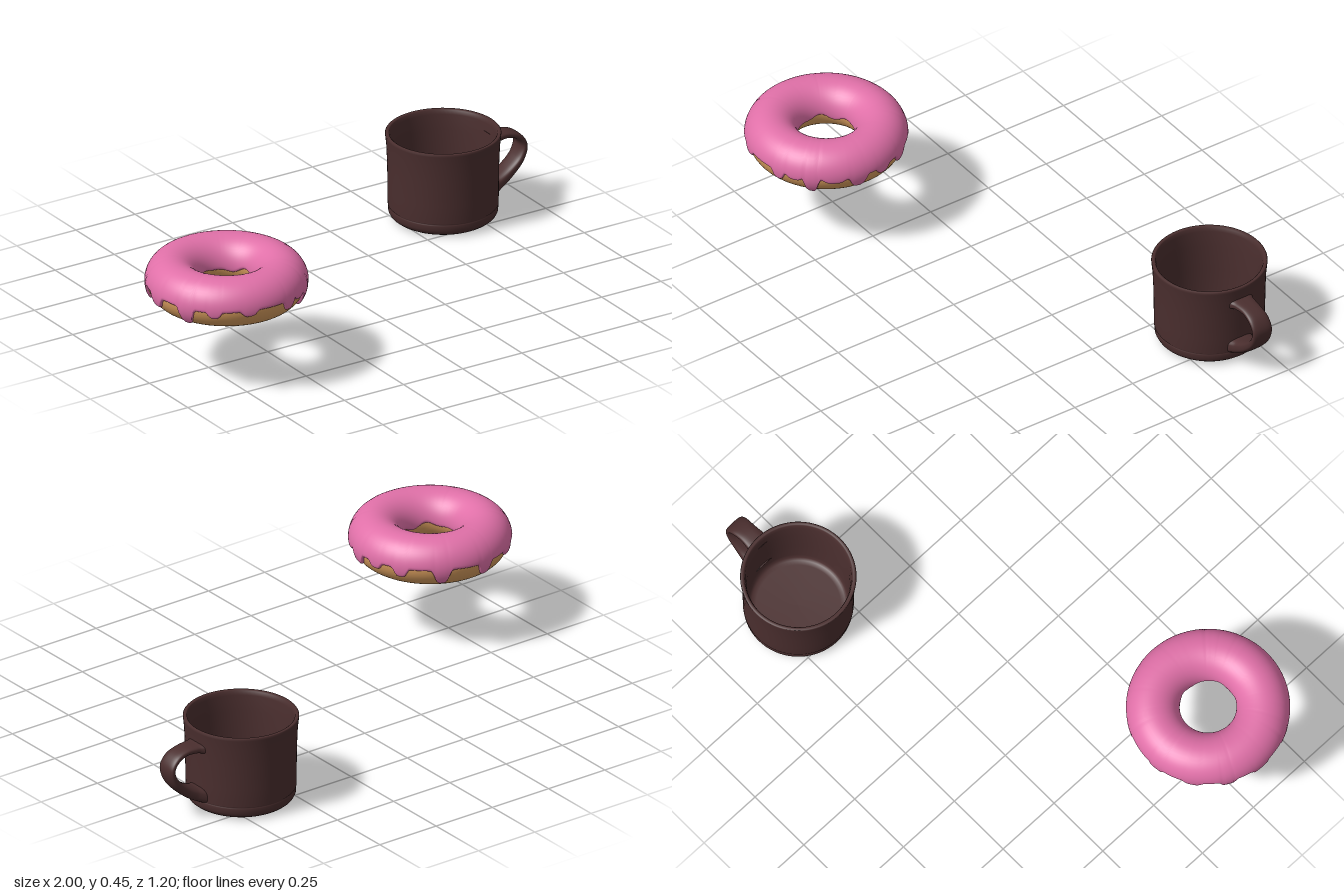
import * as THREE from 'three';

const mat = (color) => new THREE.MeshStandardMaterial({ color });

// Smooth grid surface from point(u, v), u and v in 0..1, optionally closed in each direction
function surface(point, nu, nv, closeU, closeV) {
  const pos = [], index = [];
  const cu = closeU ? nu : nu + 1, cv = closeV ? nv : nv + 1;
  for (let i = 0; i < cu; i++) {
    for (let j = 0; j < cv; j++) pos.push(...point(i / nu, j / nv));
  }
  const id = (i, j) => (i % cu) * cv + (j % cv);
  for (let i = 0; i < nu; i++) {
    for (let j = 0; j < nv; j++) {
      const a = id(i, j), b = id(i + 1, j), c = id(i + 1, j + 1), d = id(i, j + 1);
      index.push(a, d, b, b, d, c);
    }
  }
  const g = new THREE.BufferGeometry();
  g.setAttribute('position', new THREE.Float32BufferAttribute(pos, 3));
  g.setIndex(index);
  g.computeVertexNormals();
  return g;
}

function addMesh(parent, name, geometry, material) {
  const m = new THREE.Mesh(geometry, material);
  m.name = name;
  parent.add(m);
}

const RING = 0.196, DOUGH = 0.085, ICING = 0.0105;

// Drips of icing: angle around the ring, depth below the normal edge, half width
const DRIPS = [
  [0.19, 0.046, 0.11], [0.80, 0.066, 0.09], [1.25, 0.036, 0.08], [1.85, 0.022, 0.10],
  [2.30, 0.028, 0.09], [2.68, 0.066, 0.10], [3.20, 0.042, 0.11], [3.65, 0.060, 0.08],
  [4.10, 0.026, 0.11], [4.60, 0.050, 0.09], [5.21, 0.056, 0.10], [5.74, 0.034, 0.09],
  [6.11, 0.026, 0.09], [0.50, 0.018, 0.14], [1.02, 0.016, 0.10],
];

// Angle on the tube where the icing ends on the outer side
function outerEdge(theta) {
  let drop = 0.002 + 0.005 * Math.sin(3 * theta + 0.6);
  for (const [at, depth, w] of DRIPS) {
    const d = Math.atan2(Math.sin(theta - at), Math.cos(theta - at));
    drop = Math.max(drop, depth * Math.exp(-((d / w) ** 4)) + 0.002);
  }
  return -Math.asin(drop / 0.09);
}

function doughnut() {
  const g = new THREE.Group();
  g.name = 'doughnut';
  const dough = new THREE.TorusGeometry(RING, DOUGH, 40, 96).rotateX(Math.PI / 2);
  addMesh(g, 'dough', dough, mat(0xd49a5c));

  // Icing shell with a rounded lip that sinks into the dough
  const icing = surface((u, v) => {
    const th = u * Math.PI * 2;
    const a = outerEdge(th);
    const b = Math.PI + 0.12 + 0.08 * Math.sin(5 * th) + 0.05 * Math.sin(8 * th + 1);
    const s = (1 - Math.cos(Math.PI * v)) / 2; // denser rows at both lips
    const phi = a + (b - a) * s;
    const edge = THREE.MathUtils.clamp(Math.min(phi - a, b - phi) / 0.13, 0, 1);
    const r = DOUGH - 0.003 + (ICING + 0.003) * Math.sqrt(edge * (2 - edge));
    const R = RING + r * Math.cos(phi);
    return [R * Math.cos(th), r * Math.sin(phi), R * Math.sin(th)];
  }, 240, 36, true, false);
  addMesh(g, 'icing', icing, mat(0xe070a8));
  g.position.set(-0.71, 0.353, 0.305);
  return g;
}

function cup() {
  const g = new THREE.Group();
  g.name = 'cup';
  const brown = mat(0x4a2e2e);

  // Foot, groove, wall, flared rim, then the hollow inside
  const profile = [
    [0, 0.002], [0.150, 0.002], [0.165, 0], [0.178, 0.007], [0.189, 0.016], [0.195, 0.028],
    [0.196, 0.045], [0.194, 0.048], [0.194, 0.051], [0.197, 0.054], [0.1975, 0.12],
    [0.199, 0.21], [0.202, 0.28], [0.206, 0.318], [0.2065, 0.325], [0.204, 0.328],
    [0.196, 0.328], [0.192, 0.325], [0.188, 0.31], [0.183, 0.25], [0.180, 0.15],
    [0.179, 0.06], [0.175, 0.042], [0.166, 0.034], [0.150, 0.031], [0, 0.030],
  ].map(([x, y]) => new THREE.Vector2(x, y));
  addMesh(g, 'cupBody', new THREE.LatheGeometry(profile, 80), brown);

  // Handle: rounded strap swept along a curve; x, y, half thickness, half width
  const stations = [
    [0.186, 0.258, 0.022, 0.054], [0.212, 0.261, 0.016, 0.042], [0.262, 0.260, 0.013, 0.037],
    [0.304, 0.243, 0.012, 0.039], [0.326, 0.208, 0.012, 0.040], [0.312, 0.160, 0.015, 0.040],
    [0.270, 0.116, 0.019, 0.040], [0.222, 0.086, 0.024, 0.044], [0.184, 0.073, 0.030, 0.056],
  ];
  const path = new THREE.CatmullRomCurve3(stations.map(([x, y]) => new THREE.Vector3(x, y, 0)));
  const size = new THREE.CatmullRomCurve3(stations.map(([, , t, w]) => new THREE.Vector3(t, w, 0)));
  const soft = (c) => Math.sign(c) * Math.abs(c) ** 0.7;
  const handle = surface((u, v) => {
    const p = path.getPoint(u), t = path.getTangent(u), s = size.getPoint(u);
    const k = s.x * soft(Math.cos(v * Math.PI * 2));
    return [p.x - t.y * k, p.y + t.x * k, s.y * soft(Math.sin(v * Math.PI * 2))];
  }, 56, 32, false, true);
  addMesh(g, 'cupHandle', handle, brown);
  g.position.set(0.66, 0, -0.395);
  return g;
}

export function createModel() {
  const model = new THREE.Group();
  model.name = 'doughnutAndCup';
  model.add(doughnut(), cup());
  return model;
}
